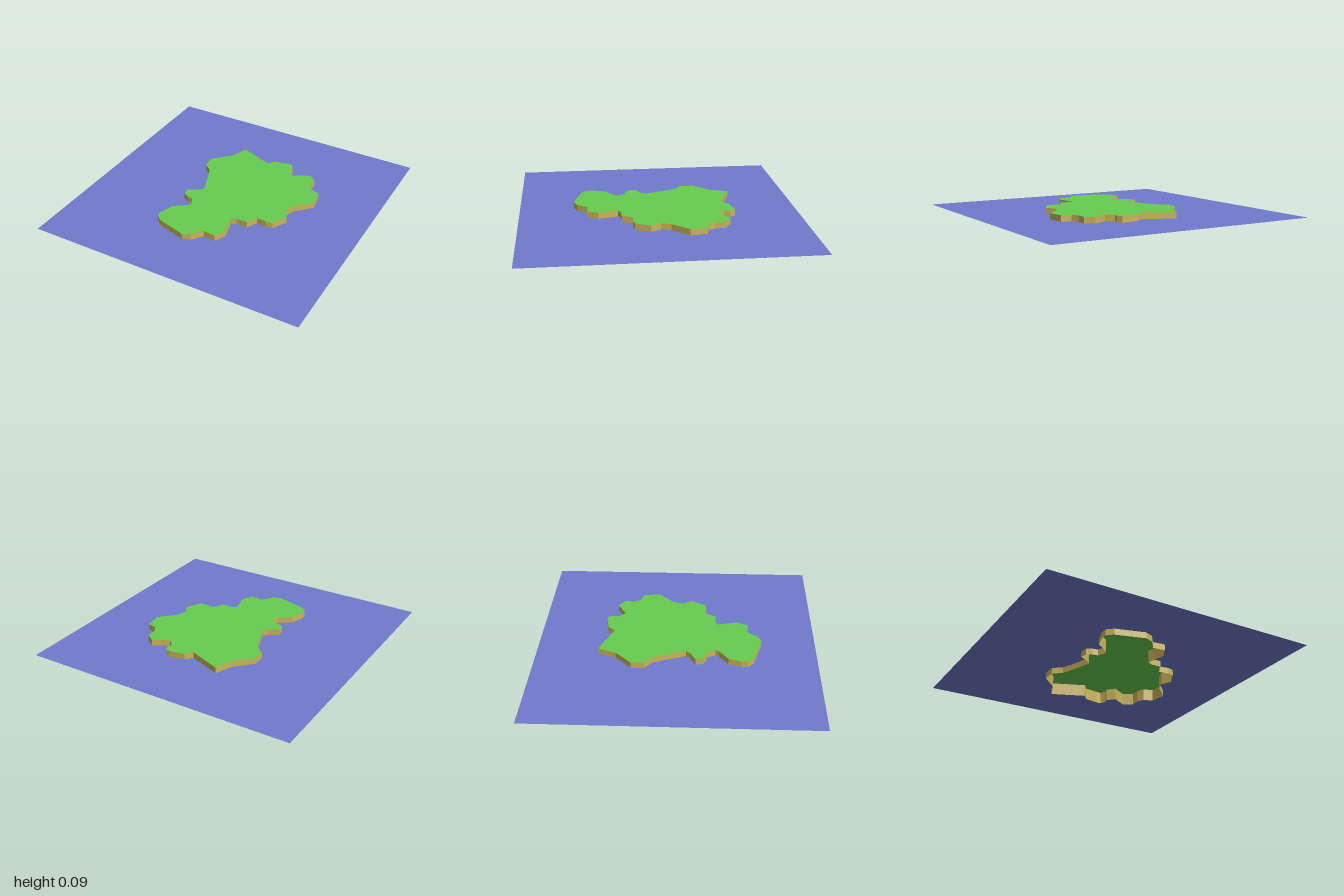
import * as THREE from 'three';

const HEIGHT = 0.09;      // top of the island
const SEA_LEVEL = 0.045;  // sea sheet lies half way up the cliffs

// Coastline as [x, z], clockwise seen from above
const COAST = [
  [-0.20, -0.555], [0.04, -0.46], [0.08, -0.51], [0.19, -0.53], [0.22, -0.53], [0.24, -0.49],
  [0.23, -0.45], [0.28, -0.40], [0.33, -0.43], [0.39, -0.465], [0.455, -0.42], [0.455, -0.35],
  [0.48, -0.30], [0.55, -0.28], [0.57, -0.16], [0.46, -0.045], [0.435, 0.025], [0.475, 0.095],
  [0.42, 0.20], [0.375, 0.21], [0.30, 0.20], [0.26, 0.28], [0.18, 0.28], [0.145, 0.30],
  [0.16, 0.35], [0.18, 0.44], [0.14, 0.52], [0.05, 0.51], [-0.005, 0.585], [-0.065, 0.61],
  [-0.28, 0.55], [-0.325, 0.51], [-0.325, 0.46], [-0.295, 0.37], [-0.205, 0.305], [-0.19, 0.28],
  [-0.22, 0.22], [-0.26, 0.215], [-0.30, 0.195], [-0.31, 0.14], [-0.235, 0.10], [-0.21, 0.07],
  [-0.27, -0.095], [-0.30, -0.165], [-0.365, -0.215], [-0.365, -0.31], [-0.25, -0.425],
];

const toPlane = (points) => points.map(([x, z]) => new THREE.Vector2(x, -z));

// Flat horizontal sheet from a shape
function sheet(shape, y) {
  return new THREE.ShapeGeometry(shape).rotateX(-Math.PI / 2).translate(0, y, 0);
}

// Upright open band that follows a closed outline
function band(points, y0, y1) {
  const pos = [];
  points.forEach(([ax, az], i) => {
    const [bx, bz] = points[(i + 1) % points.length];
    pos.push(bx, y0, bz, ax, y0, az, ax, y1, az);
    pos.push(bx, y0, bz, ax, y1, az, bx, y1, bz);
  });
  const geometry = new THREE.BufferGeometry();
  geometry.setAttribute('position', new THREE.Float32BufferAttribute(pos, 3));
  geometry.computeVertexNormals();
  return geometry;
}

function part(name, geometry, color) {
  const material = new THREE.MeshStandardMaterial({ color, side: THREE.DoubleSide });
  const mesh = new THREE.Mesh(geometry, material);
  mesh.name = name;
  return mesh;
}

export function createModel() {
  const model = new THREE.Group();
  model.name = 'island';

  // Sea: square sheet, cut out where the island stands
  const sea = new THREE.Shape(toPlane([[-1, -1], [1, -1], [1, 1], [-1, 1]]));
  sea.holes.push(new THREE.Path(toPlane(COAST)));
  model.add(part('sea', sheet(sea, SEA_LEVEL), 0x707acc));

  // Land: grassy top and sandy cliffs, open underneath
  model.add(part('grassTop', sheet(new THREE.Shape(toPlane(COAST)), HEIGHT), 0x66cc4f));
  model.add(part('cliffs', band(COAST, 0, HEIGHT), 0xccb55a));

  return model;
}
